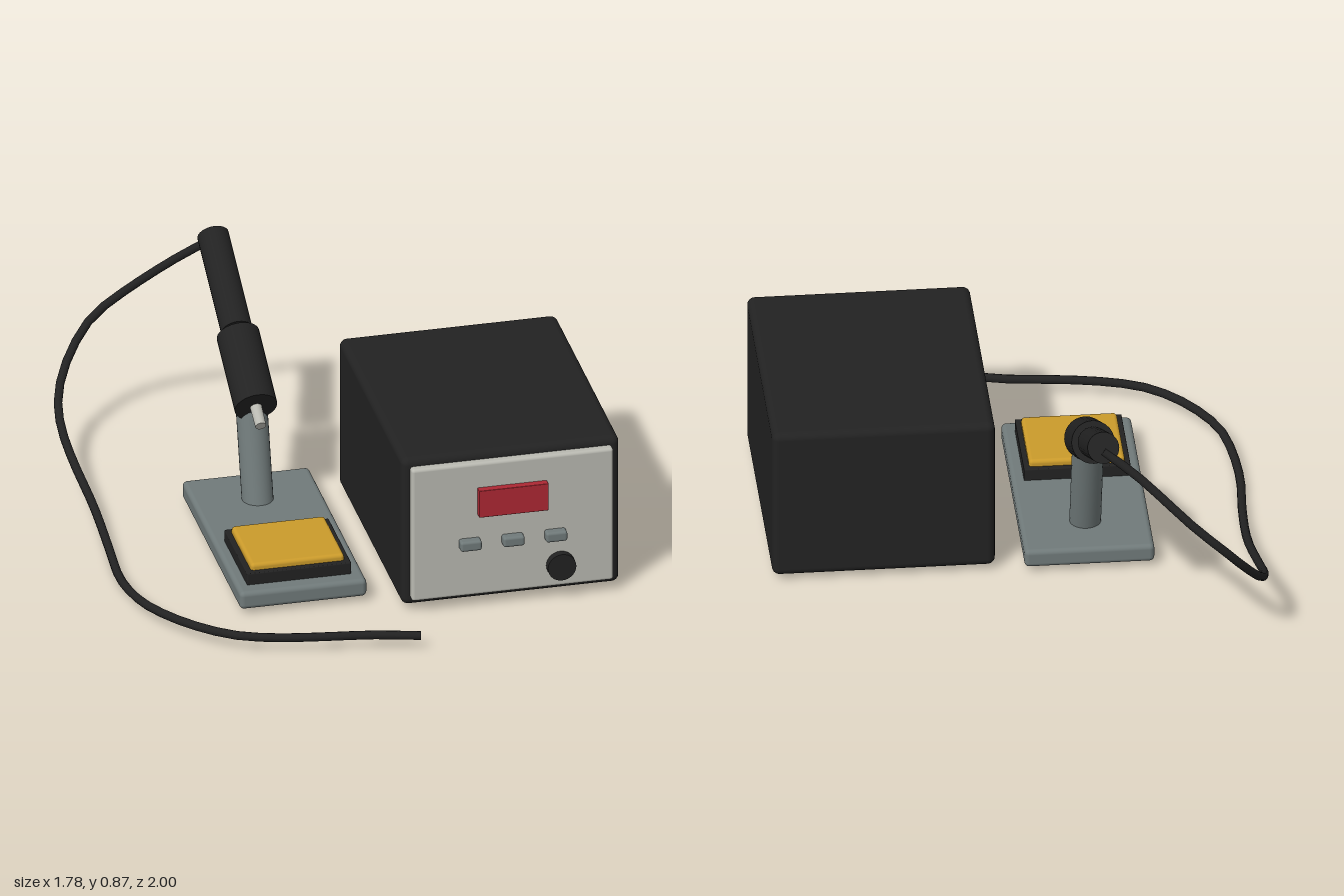
import * as THREE from 'three';
import { RoundedBoxGeometry } from 'three/addons/geometries/RoundedBoxGeometry.js';

const mat = (name, color) => {
  const m = new THREE.MeshStandardMaterial({ color });
  m.name = name;
  return m;
};

export function createModel() {
  const group = new THREE.Group();
  const black = mat('black plastic', 0x222222);
  const silver = mat('light metal', 0xb9b9b1);
  const grey = mat('slate grey', 0x707a7a);
  const red = mat('display red', 0xad2833);
  const yellow = mat('sponge yellow', 0xcb9b2b);

  const add = (name, geometry, material) => {
    const mesh = new THREE.Mesh(geometry, material);
    mesh.name = name;
    group.add(mesh);
    return mesh;
  };
  // Rounded box given by its limits on each axis
  const box = (name, [x0, x1], [y0, y1], [z0, z1], r, material) => {
    const geo = new RoundedBoxGeometry(x1 - x0, y1 - y0, z1 - z0, 3, r);
    add(name, geo, material).position.set((x0 + x1) / 2, (y0 + y1) / 2, (z0 + z1) / 2);
  };
  // Cylinder from point a to point b
  const rod = (name, a, b, ra, rb, material) => {
    const dir = b.clone().sub(a);
    const mesh = add(name, new THREE.CylinderGeometry(rb, ra, dir.length(), 28), material);
    mesh.position.copy(a).add(b).multiplyScalar(0.5);
    mesh.quaternion.setFromUnitVectors(new THREE.Vector3(0, 1, 0), dir.normalize());
  };
  const v = (x, y, z) => new THREE.Vector3(x, y, z);

  // Control station
  box('stationBody', [0.07, 0.885], [0.02, 0.62], [-0.315, 0.685], 0.028, black);
  box('frontPanel', [0.1, 0.855], [0.05, 0.59], [0.675, 0.716], 0.012, silver);
  box('display', [0.345, 0.605], [0.38, 0.49], [0.705, 0.744], 0.003, red);
  for (const x of [0.315, 0.475, 0.635]) {
    box('button', [x - 0.04, x + 0.04], [0.248, 0.288], [0.705, 0.75], 0.01, grey);
  }
  rod('knob', v(0.655, 0.14, 0.7), v(0.655, 0.14, 0.745), 0.053, 0.053, black);

  // Iron stand with sponge tray
  box('standBase', [-0.51, -0.035], [0.02, 0.09], [-0.34, 0.58], 0.018, grey);
  box('spongeTray', [-0.47, -0.08], [0.08, 0.135], [0.16, 0.52], 0.004, black);
  box('sponge', [-0.45, -0.1], [0.11, 0.16], [0.18, 0.497], 0.014, yellow);
  const px = -0.275;
  rod('standPost', v(px, 0.05, -0.125), v(px, 0.465, -0.243), 0.058, 0.058, grey);

  // Iron: holder, handle and tip share one sloping axis
  const start = v(px, 0.452, -0.16);
  const axis = v(0, 0.474, -0.88).normalize();
  const at = (d) => start.clone().addScaledVector(axis, d);
  rod('holder', at(0), at(0.322), 0.079, 0.079, black);
  rod('handle', at(0.342), at(0.767), 0.058, 0.058, black);
  rod('ironTip', at(0.02), at(-0.085), 0.022, 0.02, silver);

  // Cord from the handle end, round the side and along the ground to the front
  const path = [
    [-0.275, 0.8, -0.835], [-0.39, 0.72, -0.88], [-0.6, 0.535, -0.972], [-0.695, 0.45, -0.985],
    [-0.785, 0.34, -0.94], [-0.85, 0.24, -0.845], [-0.875, 0.18, -0.72], [-0.873, 0.125, -0.57],
    [-0.855, 0.055, -0.27], [-0.862, 0.02, 0], [-0.875, 0.016, 0.2], [-0.868, 0.026, 0.35],
    [-0.83, 0.045, 0.53], [-0.72, 0.053, 0.71], [-0.585, 0.055, 0.83], [-0.437, 0.055, 0.885],
    [-0.26, 0.055, 0.917], [-0.1, 0.053, 0.938], [0.07, 0.052, 0.982],
  ].map((p) => v(...p));
  add('cord', new THREE.TubeGeometry(new THREE.CatmullRomCurve3(path), 40, 0.016, 10), black);
  // Cord end caps
  for (const [a, b] of [[path[18], path[17]], [path[0], path[1]]]) {
    const back = a.clone().lerp(b, 0.02);
    rod('cordEnd', back, a, 0.016, 0.016, black);
  }
  return group;
}
